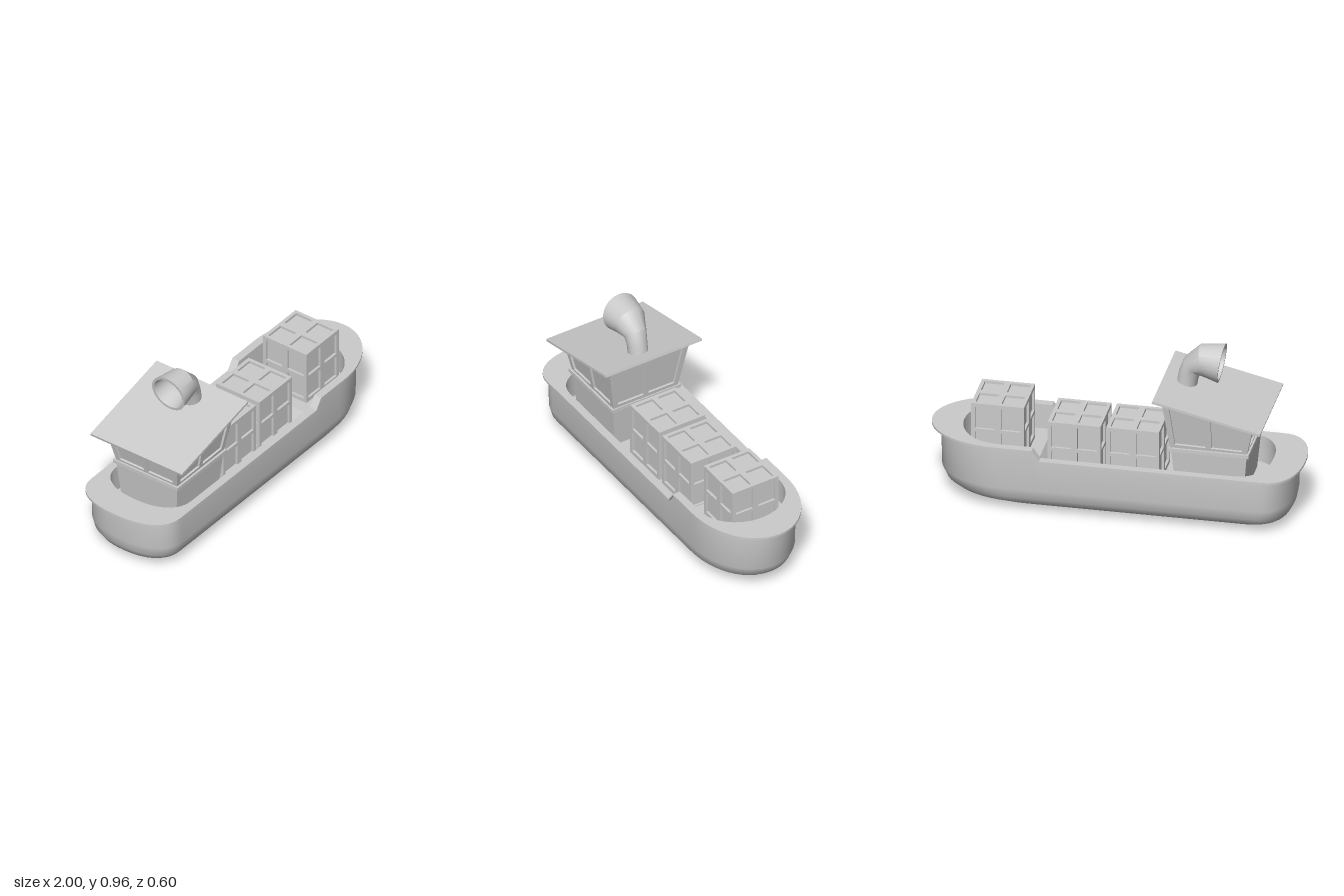
import * as THREE from 'three';
import { toCreasedNormals } from 'three/addons/utils/BufferGeometryUtils.js';

const material = new THREE.MeshStandardMaterial({ color: 0xcccccc, side: THREE.DoubleSide });

function part(name, geometry) {
  const mesh = new THREE.Mesh(geometry, material);
  mesh.name = name;
  return mesh;
}

// Skin a series of closed rings that all have the same number of points
function loft(rings, crease = 0.6) {
  const n = rings[0].length, index = [];
  for (let r = 0; r < rings.length - 1; r++) {
    for (let i = 0; i < n; i++) {
      const j = (i + 1) % n, a = r * n, b = a + n;
      index.push(a + i, b + i, b + j, a + i, b + j, a + j);
    }
  }
  const g = new THREE.BufferGeometry();
  g.setAttribute('position', new THREE.Float32BufferAttribute(rings.flat(2), 3));
  g.setIndex(index);
  return toCreasedNormals(g, crease);
}

// Boat plan: elliptical bow (+x), straight sides, tighter rounded stern
function outline(stern, bow, halfWidth, bowLength, sternLength, height) {
  const side = [], steps = 12;
  for (let i = 0; i <= steps; i++) {
    const a = (i / steps) * Math.PI / 2;
    side.push([bow - bowLength * (1 - Math.cos(a)), Math.sin(a)]);
  }
  for (const x of [0.41, 0.37]) side.push([x, 1]);
  for (let i = steps; i >= 0; i--) {
    const a = (i / steps) * Math.PI / 2;
    side.push([stern + sternLength * (1 - Math.cos(a) ** 0.87), Math.sin(a) ** 0.87]);
  }
  const all = [...side, ...side.slice(1, -1).reverse().map(([x, z]) => [x, -z])];
  return all.map(([x, z]) => [x, height(x), z * halfWidth]);
}

// Height that steps up toward the bow
const stepped = (low, high) => (x) =>
  low + (high - low) * THREE.MathUtils.clamp((x - 0.37) / 0.04, 0, 1);
const level = (y) => () => y;

// Four-cornered wall (bl, br, tr, tl) with recessed panels between pairs of cuts
function addWall(out, [bl, br, tr, tl], us, vs, depth) {
  const normal = br.clone().sub(bl).cross(tl.clone().sub(bl)).normalize();
  const at = (u, v, d) => bl.clone().lerp(br, u)
    .lerp(tl.clone().lerp(tr, u), v).addScaledVector(normal, -d);
  const quad = (a, b, c, d) => [a, b, c, a, c, d].forEach((p) => out.push(p.x, p.y, p.z));
  const U = [0, ...us, 1], V = [0, ...vs, 1];
  for (let i = 0; i < U.length - 1; i++) {
    for (let j = 0; j < V.length - 1; j++) {
      const sunk = i % 2 && j % 2;
      const cell = (d) => [at(U[i], V[j], d), at(U[i + 1], V[j], d),
        at(U[i + 1], V[j + 1], d), at(U[i], V[j + 1], d)];
      const rim = cell(0), floor = cell(depth);
      quad(...(sunk ? floor : rim));
      if (!sunk) continue;
      for (let k = 0; k < 4; k++) {
        const m = (k + 1) % 4;
        quad(rim[k], rim[m], floor[m], floor[k]);
      }
    }
  }
}

// Six-sided body; corner(sx, sy, sz) places each corner, cuts define panels
function panelledBody(corner, sideCuts, endCuts, topCuts, depth) {
  const none = [[], []];
  const faces = [
    [[[-1, -1, 1], [1, -1, 1], [1, 1, 1], [-1, 1, 1]], sideCuts],
    [[[1, -1, -1], [-1, -1, -1], [-1, 1, -1], [1, 1, -1]], sideCuts],
    [[[1, -1, 1], [1, -1, -1], [1, 1, -1], [1, 1, 1]], endCuts],
    [[[-1, -1, -1], [-1, -1, 1], [-1, 1, 1], [-1, 1, -1]], endCuts],
    [[[-1, 1, 1], [1, 1, 1], [1, 1, -1], [-1, 1, -1]], topCuts],
    [[[-1, -1, -1], [1, -1, -1], [1, -1, 1], [-1, -1, 1]], none],
  ];
  const out = [];
  for (const [signs, cuts] of faces) {
    const corners = signs.map((s) => new THREE.Vector3(...corner(...s)));
    addWall(out, corners, cuts[0], cuts[1], depth);
  }
  const g = new THREE.BufferGeometry();
  g.setAttribute('position', new THREE.Float32BufferAttribute(out, 3));
  g.computeVertexNormals();
  return g;
}

function createHull() {
  const hull = new THREE.Group();
  hull.name = 'hull';
  const under = stepped(0.322, 0.38), top = stepped(0.334, 0.392);

  // Rounded shell: stern x, bow x, half width, height
  const shell = [
    [-0.78, 0.66, 0, 0.002], [-0.84, 0.72, 0.12, 0.011], [-0.89, 0.81, 0.195, 0.03],
    [-0.925, 0.875, 0.24, 0.058], [-0.945, 0.92, 0.265, 0.095],
    [-0.955, 0.945, 0.277, 0.15],
  ].map(([s, b, w, y]) => outline(s, b, w, 0.36, 0.17, level(y)));
  shell.push(outline(-0.957, 0.95, 0.28, 0.36, 0.17, under));
  hull.add(part('shell', loft(shell, 0.9)));

  // Flat overhanging rim
  const inner = (h, w = 0.247) => outline(-0.83, 0.83, w, 0.22, 0.17, h);
  hull.add(part('rim', loft([
    outline(-0.957, 0.95, 0.28, 0.36, 0.17, under),
    outline(-1, 1, 0.292, 0.39, 0.18, under),
    outline(-1, 1, 0.292, 0.39, 0.18, top),
    inner(top),
  ])));

  // Inside walls and stepped deck
  const deck = stepped(0.18, 0.25);
  hull.add(part('bulwark', loft([inner(top), inner(deck)])));
  hull.add(part('deck', loft([inner(deck), inner(deck, 0)])));
  return hull;
}

function createCabin() {
  const cabin = new THREE.Group();
  cabin.name = 'cabin';
  const none = [[], []];

  // Tapered base
  cabin.add(part('cabinBase', panelledBody((sx, sy, sz) => {
    const up = sy > 0;
    return [-0.523 + sx * (up ? 0.203 : 0.18), up ? 0.43 : 0.175, sz * (up ? 0.2 : 0.178)];
  }, none, none, none, 0)));

  const ledge = part('ledge', new THREE.BoxGeometry(0.43, 0.02, 0.426));
  ledge.position.set(-0.523, 0.435, 0);
  cabin.add(ledge);

  // Flared wheelhouse with paired windows on every wall
  const pairs = [0.07, 0.465, 0.535, 0.93];
  cabin.add(part('wheelhouse', panelledBody((sx, sy, sz) => {
    if (sy < 0) return [sx > 0 ? -0.315 : -0.727, 0.445, sz * 0.2];
    return sx > 0 ? [-0.278, 0.735, sz * 0.25] : [-0.768, 0.622, sz * 0.231];
  }, [pairs, [0.07, 0.89]], [pairs, [0.07, 0.89]], none, 0.012)));

  const roof = part('roof', new THREE.BoxGeometry(0.595, 0.014, 0.6));
  roof.position.set(-0.528, 0.683, 0);
  roof.rotation.z = 0.229;
  cabin.add(roof);
  return cabin;
}

// Bent, flared and hollow funnel
function createFunnel() {
  const ring = ([x, y, z, r, degrees]) => {
    const a = THREE.MathUtils.degToRad(degrees - 90);
    return Array.from({ length: 28 }, (_, i) => {
      const p = (i / 28) * Math.PI * 2, c = r * Math.cos(p);
      return [x + c * Math.cos(a), y + c * Math.sin(a), z + r * Math.sin(p)];
    });
  };
  return part('funnel', loft([
    [-0.355, 0.69, 0.02, 0.054, 95], [-0.37, 0.775, 0.02, 0.055, 107],
    [-0.39, 0.828, 0.018, 0.062, 133], [-0.45, 0.865, 0.014, 0.09, 168],
    [-0.55, 0.861, 0.01, 0.107, 188], [-0.55, 0.861, 0.01, 0.092, 188],
    [-0.45, 0.865, 0.014, 0.076, 168], [-0.39, 0.828, 0.018, 0.048, 133],
    [-0.37, 0.775, 0.02, 0.042, 107], [-0.37, 0.775, 0.02, 0, 107],
  ].map(ring), 0.5));
}

export function createModel() {
  const boat = new THREE.Group();
  boat.name = 'cargoBoat';
  boat.add(createHull(), createCabin(), createFunnel());

  // Cargo crates with four sunken panels per face
  const across = [0.07, 0.44, 0.56, 0.93], upward = [0.07, 0.47, 0.53, 0.93];
  const crate = panelledBody((sx, sy, sz) => [sx * 0.142, sy * 0.157, sz * 0.142],
    [across, upward], [across, upward], [across, across], 0.014);
  [[-0.102, 0.338], [0.212, 0.338], [0.622, 0.407]].forEach(([x, y], i) => {
    const mesh = part(`crate${i + 1}`, crate);
    mesh.position.set(x, y, 0);
    boat.add(mesh);
  });
  return boat;
}
